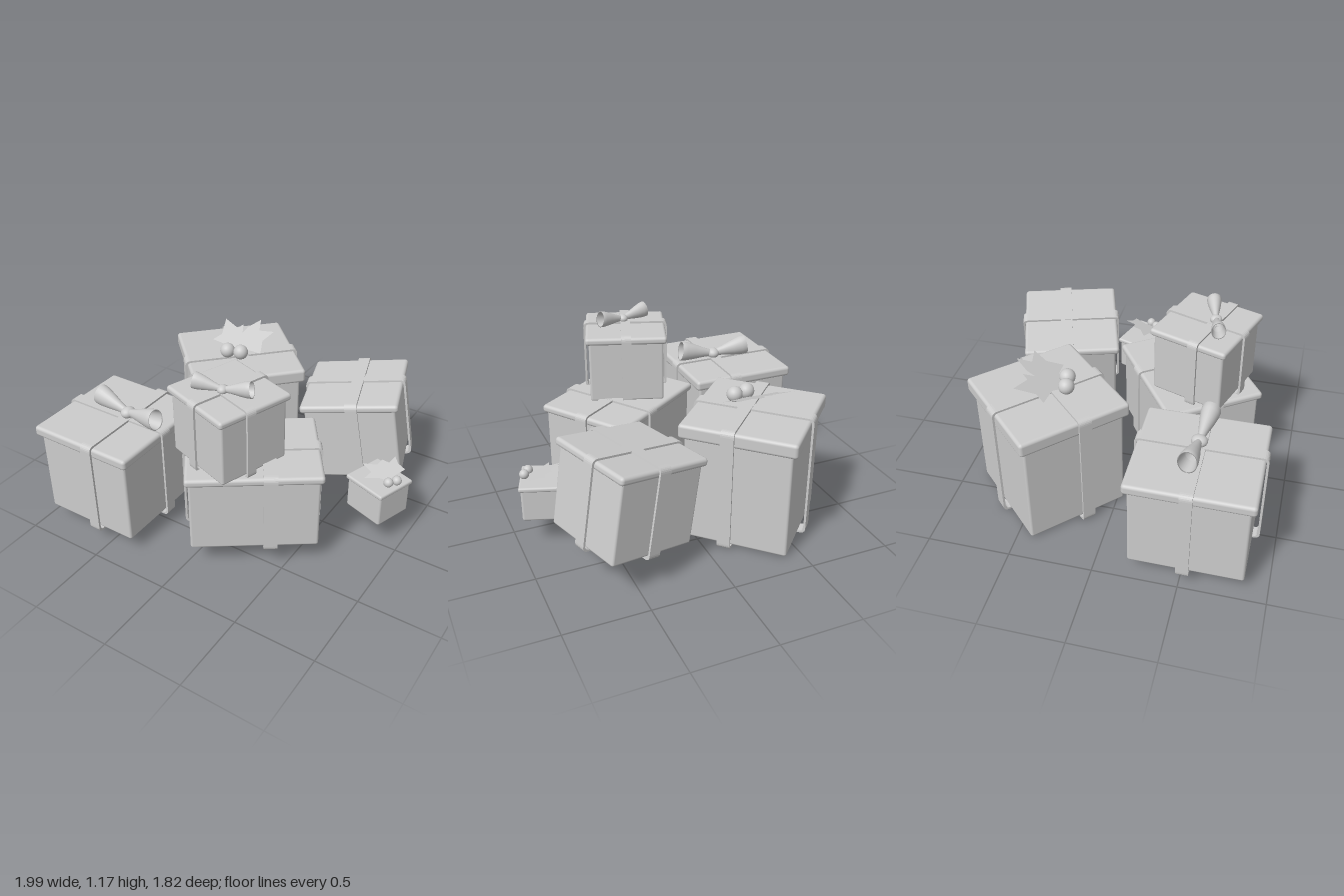
import * as THREE from 'three';
import { RoundedBoxGeometry } from 'three/addons/geometries/RoundedBoxGeometry.js';

const grey = new THREE.MeshStandardMaterial({ color: 0xcccccc, side: THREE.DoubleSide });
grey.name = 'paper grey';

function add(parent, name, geometry) {
  const mesh = new THREE.Mesh(geometry, grey);
  mesh.name = name;
  parent.add(mesh);
  return mesh;
}

function roundRect(path, w, y0, y1, r) {
  const h = w / 2;
  path.moveTo(-h + r, y0);
  path.lineTo(h - r, y0);
  path.quadraticCurveTo(h, y0, h, y0 + r);
  path.lineTo(h, y1 - r);
  path.quadraticCurveTo(h, y1, h - r, y1);
  path.lineTo(-h + r, y1);
  path.quadraticCurveTo(-h, y1, -h, y1 - r);
  path.lineTo(-h, y0 + r);
  path.quadraticCurveTo(-h, y0, -h + r, y0);
  return path;
}

// A closed band that runs round a box of span w and height h
function ribbonGeometry(w, h, width) {
  const shape = roundRect(new THREE.Shape(), w + 0.03, -0.008, h + 0.012, 0.035);
  shape.holes.push(roundRect(new THREE.Path(), w + 0.004, 0.005, h - 0.001, 0.025));
  return new THREE.ExtrudeGeometry(shape, { depth: width, bevelEnabled: false, curveSegments: 6 })
    .translate(0, 0, -width / 2);
}

// Box, overhanging lid and two crossing ribbons; w and d are the lid size
function gift(root, { name, pos, yaw, tilt = 0, w, h, d, lid, over = 0.03, band = 0, cross = [0, 0] }) {
  const g = new THREE.Group();
  g.name = name;
  g.position.set(...pos);
  g.rotation.set(0, yaw, tilt);
  root.add(g);
  const bodyH = h - lid / 2;
  add(g, 'box', new RoundedBoxGeometry(w - 2 * over, bodyH, d - 2 * over, 3, 0.015)).position.y = bodyH / 2;
  add(g, 'lid', new RoundedBoxGeometry(w, lid, d, 3, Math.min(0.02, lid * 0.4))).position.y = h - lid / 2;
  if (band) {
    add(g, 'ribbonAcross', ribbonGeometry(w, h, band)).position.z = cross[1];
    const along = add(g, 'ribbonAlong', ribbonGeometry(d, h + 0.002, band));
    along.rotation.y = Math.PI / 2;
    along.position.x = cross[0];
  }
}

// Two open flaring loops and a round knot
function bow(root, pos, yaw, length, radius) {
  const g = new THREE.Group();
  g.name = 'bow';
  g.position.set(...pos);
  g.rotation.y = yaw;
  root.add(g);
  add(g, 'knot', new THREE.SphereGeometry(radius * 0.62, 20, 14)).scale.set(1, 0.85, 1.15);
  const profile = [[0.35, 0.08], [0.5, 0.3], [0.78, 0.6], [0.97, 0.85], [1, 1], [0.9, 0.99], [0.7, 0.6]]
    .map(([r, t]) => new THREE.Vector2(r * radius, t * length));
  for (const side of [-1, 1]) {
    const loop = add(g, 'bowLoop', new THREE.LatheGeometry(profile, 24));
    loop.rotation.z = -side * (Math.PI / 2 - 0.17);
    loop.scale.z = 0.85;
  }
}

// Flat leaf sprig outlined in x, z and lifted by a slope rule
function leaves(root, outline, height) {
  const shape = new THREE.Shape(outline.map(([x, z]) => new THREE.Vector2(x, -z)));
  const geo = new THREE.ShapeGeometry(shape).rotateX(-Math.PI / 2);
  const p = geo.attributes.position;
  for (let i = 0; i < p.count; i++) p.setY(i, height(p.getX(i), p.getZ(i)));
  geo.computeVertexNormals();
  add(root, 'hollyLeaves', geo);
}

function berries(root, radius, spots) {
  for (const s of spots) add(root, 'berry', new THREE.SphereGeometry(radius, 20, 14)).position.set(...s);
}

export function createModel() {
  const root = new THREE.Group();
  root.name = 'giftPile';

  gift(root, { name: 'frontLeftGift', pos: [-0.642, 0.1, 0.53], yaw: 0, w: 0.68, h: 0.6, d: 0.72,
    lid: 0.065, over: 0.027, band: 0.072, cross: [0.067, -0.01] });
  gift(root, { name: 'backLeftGift', pos: [-0.393, 0.012, -0.42], yaw: -0.775, w: 0.7, h: 0.757, d: 0.72,
    lid: 0.09, band: 0.08, cross: [0.05, 0] });
  gift(root, { name: 'middleGift', pos: [0.185, 0.145, 0.32], yaw: 0.605, w: 0.785, h: 0.505, d: 0.62,
    lid: 0.05, over: 0.02, band: 0.08, cross: [0.09, 0] });
  gift(root, { name: 'topGift', pos: [0.095, 0.645, 0.425], yaw: -0.33, w: 0.5, h: 0.425, d: 0.49,
    lid: 0.045, over: 0.02, band: 0.06, cross: [0, 0.045] });
  gift(root, { name: 'leaningGift', pos: [0.5, 0.213, -0.547], yaw: 0.31, tilt: 0.17, w: 0.605, h: 0.53, d: 0.6,
    lid: 0.05, over: 0.022, band: 0.075, cross: [0.02, -0.03] });
  gift(root, { name: 'smallGift', pos: [0.81, 0.187, -0.105], yaw: -0.33, w: 0.29, h: 0.228, d: 0.272,
    lid: 0.03, over: 0.01 });

  bow(root, [-0.573, 0.735, 0.515], -0.11, 0.235, 0.066);
  bow(root, [0.092, 1.095, 0.475], 0.24, 0.17, 0.05);

  // Holly on the back left gift
  leaves(root, [[-0.578, -0.545], [-0.46, -0.505], [-0.435, -0.54], [-0.405, -0.48], [-0.395, -0.53],
    [-0.34, -0.61], [-0.305, -0.53], [-0.205, -0.55], [-0.24, -0.465], [-0.2, -0.375], [-0.28, -0.375],
    [-0.39, -0.32], [-0.45, -0.365], [-0.57, -0.375], [-0.535, -0.43]],
  (x, z) => 0.8 + (-0.32 - z) * 0.45);
  berries(root, 0.048, [[-0.4, 0.83, -0.295], [-0.312, 0.832, -0.315]]);

  // Holly on the small gift
  leaves(root, [[0.84, -0.25], [0.875, -0.215], [0.93, -0.2], [0.895, -0.125], [0.915, -0.08], [0.83, -0.06],
    [0.755, -0.01], [0.77, -0.07], [0.7, -0.095], [0.775, -0.135], [0.785, -0.185], [0.83, -0.19]],
  (x, z) => 0.43 + 0.2 * (0.9 - x) + 0.25 * (-0.06 - z));
  berries(root, 0.029, [[0.893, 0.446, -0.047], [0.927, 0.447, -0.09]]);

  return root;
}
